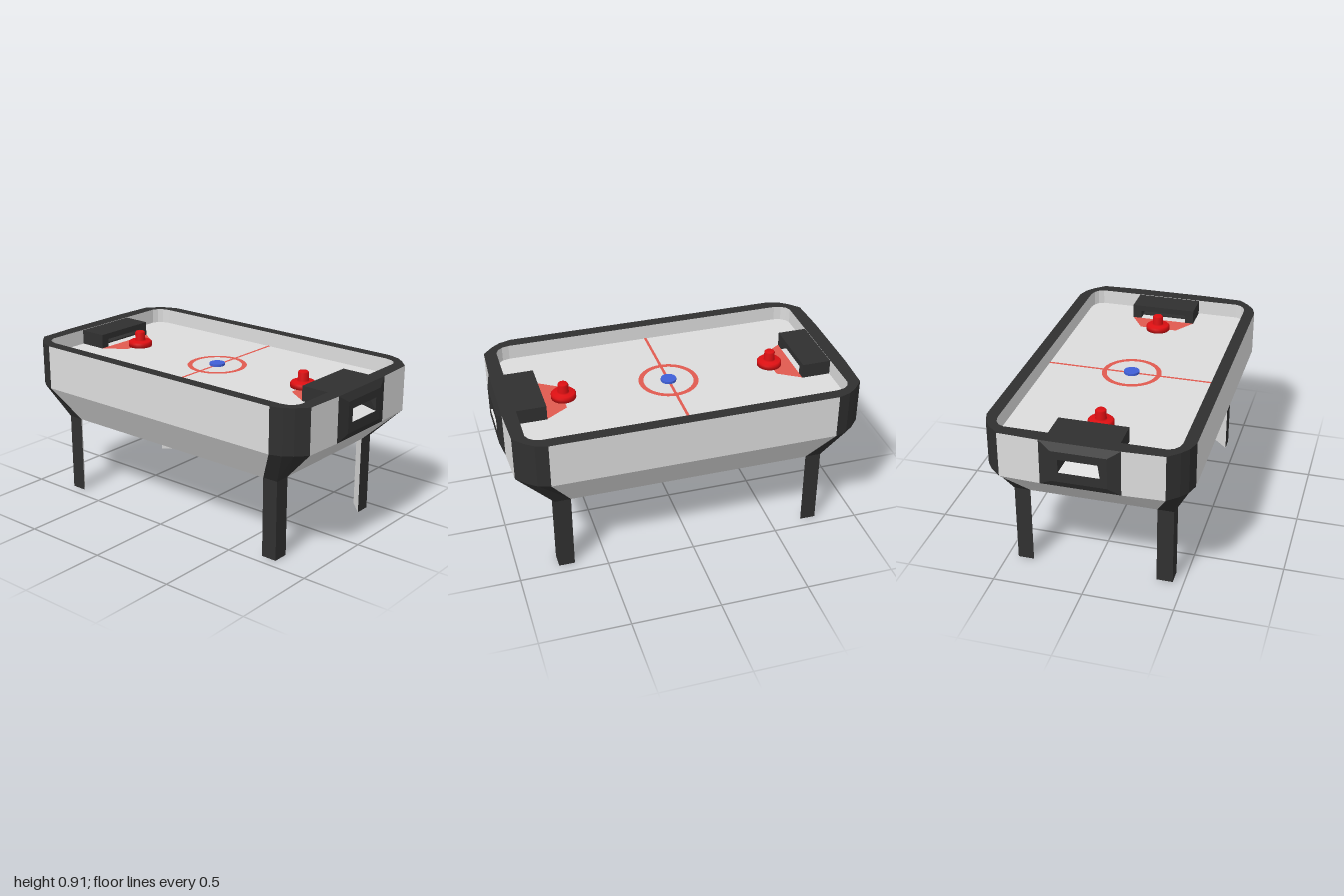
import * as THREE from 'three';

const material = (name, color, side = THREE.FrontSide) => {
  const m = new THREE.MeshStandardMaterial({ color, side });
  m.name = name;
  return m;
};

export function createModel() {
  const table = new THREE.Group();
  table.name = 'airHockeyTable';
  const light = material('light grey', 0xdcdcdc);
  const dark = material('charcoal', 0x303030);
  const paint = material('line red', 0xe05a50);
  const red = material('mallet red', 0xdd0f12);
  const blue = material('puck blue', 0x4060d8);

  const add = (name, geometry, mat, parent = table) => {
    const mesh = new THREE.Mesh(geometry, mat);
    mesh.name = name;
    parent.add(mesh);
    return mesh;
  };
  // Flat faced surface from polygons of three or four corners
  const faces = (polys) => {
    const out = [];
    for (const p of polys) {
      for (let i = 1; i < p.length - 1; i++) out.push(...p[0], ...p[i], ...p[i + 1]);
    }
    const g = new THREE.BufferGeometry();
    g.setAttribute('position', new THREE.Float32BufferAttribute(out, 3));
    g.computeVertexNormals();
    return g;
  };
  // Repeats one corner outline around all four corners, walking from +x to +z
  const signs = [[1, 1], [-1, 1], [-1, -1], [1, -1]];
  const corner = (pts, [sx, sz]) => {
    const c = pts.map(([x, z]) => [x * sx, z * sz]);
    return sx * sz < 0 ? c.reverse() : c;
  };
  const ring = (pts) => signs.flatMap((s) => corner(pts, s));
  // Wall quads between a lower and an upper outline
  const wall = (lo, y0, hi, y1, pick = () => true) => {
    const quads = [];
    lo.forEach((a, i) => {
      if (!pick(i)) return;
      const j = (i + 1) % lo.length;
      quads.push([[a[0], y0, a[1]], [hi[i][0], y1, hi[i][1]],
        [hi[j][0], y1, hi[j][1]], [lo[j][0], y0, lo[j][1]]]);
    });
    return faces(quads);
  };
  const outline = (pts) => new THREE.Shape(pts.map(([x, z]) => new THREE.Vector2(x, z)));
  const flat = (shape, y, down = false) =>
    new THREE.ShapeGeometry(shape, 32).rotateX(down ? Math.PI / 2 : -Math.PI / 2).translate(0, y, 0);

  const TOP = 0.908, MID = 0.652, LOW = 0.455, FLOOR = 0.822;
  const outer = ring([[0.557, 0.8], [0.535, 0.868], [0.5, 0.915], [0.44, 0.97], [0.215, 0.98]]);
  const base = ring([[0.44, 0.68], [0.44, 0.77], [0.44, 0.77], [0.35, 0.77], [0.215, 0.77]]);
  const inner = ring([[0.49, 0.82], [0.48, 0.86], [0.46, 0.885], [0.43, 0.9]]);

  // Cabinet: dark corners, light panels, gap at the ends for the goal frames
  const isCorner = (i) => [0, 1, 2, 6, 7, 8].includes(i % 10);
  add('upperPanels', wall(outer, MID, outer, TOP, (i) => !isCorner(i) && i % 10 !== 4), light);
  add('upperCorners', wall(outer, MID, outer, TOP, isCorner), dark);
  add('lowerPanels', wall(base, LOW, outer, MID, (i) => !isCorner(i)), light);
  add('lowerCorners', wall(base, LOW, outer, MID, isCorner), dark);
  add('underside', flat(outline(base), LOW, true), light);
  add('undersidePanel', new THREE.BoxGeometry(0.61, 0.014, 1.07).translate(0, 0.447, 0), dark);

  // Rim, inner walls and playing surface
  const rim = outline(outer);
  rim.holes.push(outline(inner));
  add('rim', flat(rim, TOP), dark);
  const innerBack = [...inner].reverse();
  add('innerWalls', wall(innerBack, FLOOR, innerBack, TOP), light);
  add('playingSurface', flat(outline(inner), FLOOR), light);

  // Painted markings
  add('centreLine', new THREE.PlaneGeometry(0.98, 0.016).rotateX(-Math.PI / 2)
    .translate(0, FLOOR + 0.002, 0), paint);
  add('centreCircle', new THREE.RingGeometry(0.142, 0.17, 40).rotateX(-Math.PI / 2)
    .translate(0, FLOOR + 0.003, 0), paint);
  add('puck', new THREE.CylinderGeometry(0.044, 0.044, 0.014, 24).translate(0, FLOOR + 0.009, 0), blue);

  // Legs: triangular posts with light inner faces
  signs.forEach((s) => {
    const leg = new THREE.Group();
    leg.name = 'leg';
    table.add(leg);
    const tri = corner([[0.44, 0.68], [0.44, 0.77], [0.35, 0.77]], s);
    add('legOutside', wall(tri, 0, tri, LOW, (i) => i < 2), dark, leg);
    add('legInside', wall(tri, 0, tri, LOW, (i) => i === 2), light, leg);
    add('legFoot', faces([tri.map(([x, z]) => [x, 0, z])]), light, leg);
  });

  // Goal end: bevelled frame, puck return, goal box, crease and mallet
  const rect = (w, y0, y1, z0, z1 = z0) => [[-w, y0, z0], [w, y0, z0], [w, y1, z1], [-w, y1, z1]];
  const band = (a, b, pick) => pick.map((i) => {
    const j = (i + 1) % 4;
    return [a[i], a[j], b[j], b[i]];
  });
  const all = [0, 1, 2, 3];
  const frameOuter = rect(0.215, MID, TOP, 0.98);
  const frameFace = rect(0.147, 0.69, 0.865, 1);
  const slot = rect(0.11, 0.745, 0.82, 1);
  const slotBack = rect(0.09, 0.775, 0.815, 0.9, 0.975);
  const mallet = [[0, 0], [0.07, 0], [0.07, 0.024], [0.062, 0.032], [0.034, 0.032],
    [0.03, 0.04], [0.03, 0.082], [0.025, 0.089], [0, 0.089]].map(([x, y]) => new THREE.Vector2(x, y));
  for (const turn of [0, Math.PI]) {
    const end = new THREE.Group();
    end.name = turn ? 'backGoal' : 'frontGoal';
    end.rotation.y = turn;
    table.add(end);
    add('goalFrame', faces([...band(frameOuter, frameFace, all), ...band(frameFace, slot, all),
      ...band(slot, slotBack, [1, 2, 3])]), dark, end);
    add('puckReturn', faces([...band(slot, slotBack, [0]), slotBack]), light, end);

    add('goalTop', new THREE.BoxGeometry(0.38, 0.035, 0.17).translate(0, 0.888, 0.82), dark, end);
    for (const x of [-0.165, 0.165]) {
      add('goalSide', new THREE.BoxGeometry(0.05, 0.05, 0.17).translate(x, 0.846, 0.82), dark, end);
    }
    add('goalPocket', new THREE.BoxGeometry(0.28, 0.008, 0.11).translate(0, FLOOR + 0.004, 0.845), dark, end);

    add('goalCrease', faces([[[-0.19, FLOOR + 0.002, 0.735], [0.19, FLOOR + 0.002, 0.735],
      [0.11, FLOOR + 0.002, 0.61], [-0.11, FLOOR + 0.002, 0.61]]]), paint, end);
    add('mallet', new THREE.LatheGeometry(mallet, 28).translate(0, FLOOR + 0.002, 0.605), red, end);
  }
  return table;
}
